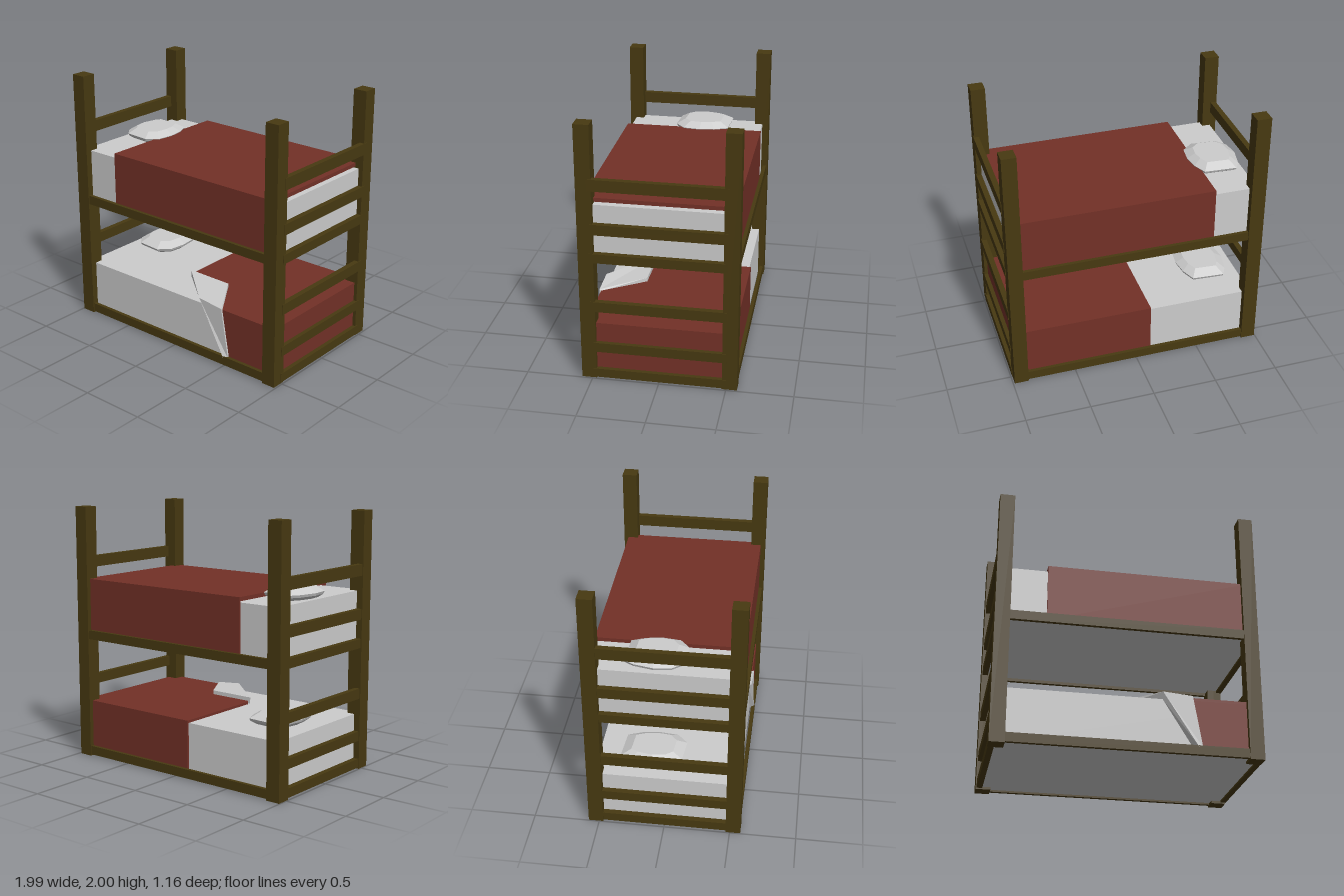
import * as THREE from 'three';
import { ConvexGeometry } from 'three/addons/geometries/ConvexGeometry.js';

const mat = (name, color, extra = {}) => {
  const m = new THREE.MeshStandardMaterial({ color, ...extra });
  m.name = name;
  return m;
};

export function createModel() {
  const group = new THREE.Group();
  const wood = mat('dark wood', 0x473911);
  const linen = mat('pale linen', 0xcccccc, { side: THREE.DoubleSide });
  const red = mat('red blanket', 0x733127);

  const add = (name, geometry, material) => {
    const mesh = new THREE.Mesh(geometry, material);
    mesh.name = name;
    group.add(mesh);
    return mesh;
  };
  // Box given by its lower and upper limits on each axis
  const box = (name, material, x0, x1, y0, y1, z0, z1) => {
    const g = new THREE.BoxGeometry(x1 - x0, y1 - y0, z1 - z0);
    g.translate((x0 + x1) / 2, (y0 + y1) / 2, (z0 + z1) / 2);
    return add(name, g, material);
  };
  const plate = (points, depth) => new THREE.ExtrudeGeometry(
    new THREE.Shape(points.map(([x, y]) => new THREE.Vector2(x, y))),
    { depth, bevelEnabled: false });

  // Corner posts
  for (const [x0, x1] of [[-0.995, -0.882], [0.877, 0.987]])
    for (const z of [-0.525, 0.525])
      box('post', wood, x0, x1, 0, 2, z - 0.056, z + 0.056);

  // Long side rails of both beds
  for (const [y0, y1] of [[0.01, 0.08], [0.957, 1.028]])
    for (const s of [-1, 1])
      box('sideRail', wood, -0.95, 0.94, y0, y1, s * 0.56 - 0.014, s * 0.56 + 0.014);

  // End rails and ladder rungs
  const rungs = [[0.01, 0.08], [0.225, 0.3], [0.56, 0.64], [0.957, 1.028], [1.177, 1.258], [1.512, 1.6]];
  for (const [y0, y1] of rungs) {
    box('endRung', wood, -0.988, -0.945, y0, y1, -0.5, 0.5);
    box('endRung', wood, 0.95, 0.992, y0, y1, -0.5, 0.5);
  }

  // Mattresses
  box('upperMattress', linen, -0.945, 0.95, 0.975, 1.395, -0.532, 0.532);
  box('lowerMattress', linen, -0.945, 0.945, 0.02, 0.432, -0.532, 0.532);

  // Upper blanket: inverted U, open at both ends
  const u = plate([[-0.547, 0.985], [-0.533, 0.985], [-0.533, 1.405], [0.533, 1.405],
    [0.533, 0.985], [0.547, 0.985], [0.547, 1.435], [-0.547, 1.435]], 1.53);
  u.rotateY(Math.PI / 2);
  u.translate(-0.61, 0, 0);
  add('upperBlanket', u, red);

  // Lower blanket: top with one corner turned back, two sides and an end
  const top = plate([[-0.12, 0.547], [-0.12, -0.2], [0.3, -0.547], [0.96, -0.547], [0.96, 0.547]], 0.02);
  top.rotateX(-Math.PI / 2);
  top.translate(0, 0.432, 0);
  add('lowerBlanketTop', top, red);
  const front = plate([[0.3, 0.451], [0.53, 0.03], [0.96, 0.03], [0.96, 0.451]], 0.014);
  front.translate(0, 0, 0.533);
  add('lowerBlanketFront', front, red);
  box('lowerBlanketBack', red, -0.12, 0.96, 0.03, 0.451, -0.547, -0.533);
  box('lowerBlanketEnd', red, 0.946, 0.96, 0.03, 0.451, -0.54, 0.54);

  // Turned-back corner showing the pale lining
  const A = [-0.125, 0.483, 0.22], B = [0.26, 0.483, 0.225], C = [0.47, 0.463, 0.56];
  const D = [0.25, 0.483, 0.555], E = [0.535, 0.07, 0.56], F = [0.5, 0.07, 0.575];
  const A2 = [-0.125, 0.432, 0.22], B2 = [0.26, 0.45, 0.225], C2 = [0.47, 0.45, 0.545];
  const D2 = [0.25, 0.432, 0.533], E2 = [0.535, 0.07, 0.545], F2 = [0.47, 0.07, 0.533];
  const quads = [[A, D, C, B], [D, F, E, C], [A2, D2, D, A], [D2, F2, F, D], [A, B, B2, A2], [B, C, C2, B2], [C, E, E2, C2]];
  const fold = new THREE.BufferGeometry();
  fold.setAttribute('position', new THREE.Float32BufferAttribute(
    quads.flatMap(([a, b, c, d]) => [a, b, c, a, c, d]).flat(), 3));
  fold.computeVertexNormals();
  add('foldedCorner', fold, linen);

  // Faceted pillows: one outline lofted through four heights
  const outline = [[-0.12, -0.22], [0.13, -0.205], [0.175, -0.1], [0.192, 0.02], [0.175, 0.15],
    [0.09, 0.222], [-0.11, 0.207], [-0.175, 0.13], [-0.192, 0], [-0.16, -0.15]];
  const layers = [[0, 0.75], [0.03, 0.96], [0.05, 1], [0.09, 0.68]];
  const pillow = (name, x, y, z, sz) => {
    const pts = layers.flatMap(([h, s]) => outline.map(([px, pz]) => new THREE.Vector3(px * s, h, pz * s * sz)));
    add(name, new ConvexGeometry(pts), linen).position.set(x, y, z);
  };
  pillow('upperPillow', -0.752, 1.39, -0.072, 1);
  pillow('lowerPillow', -0.672, 0.448, -0.115, 1.09);

  return group;
}
